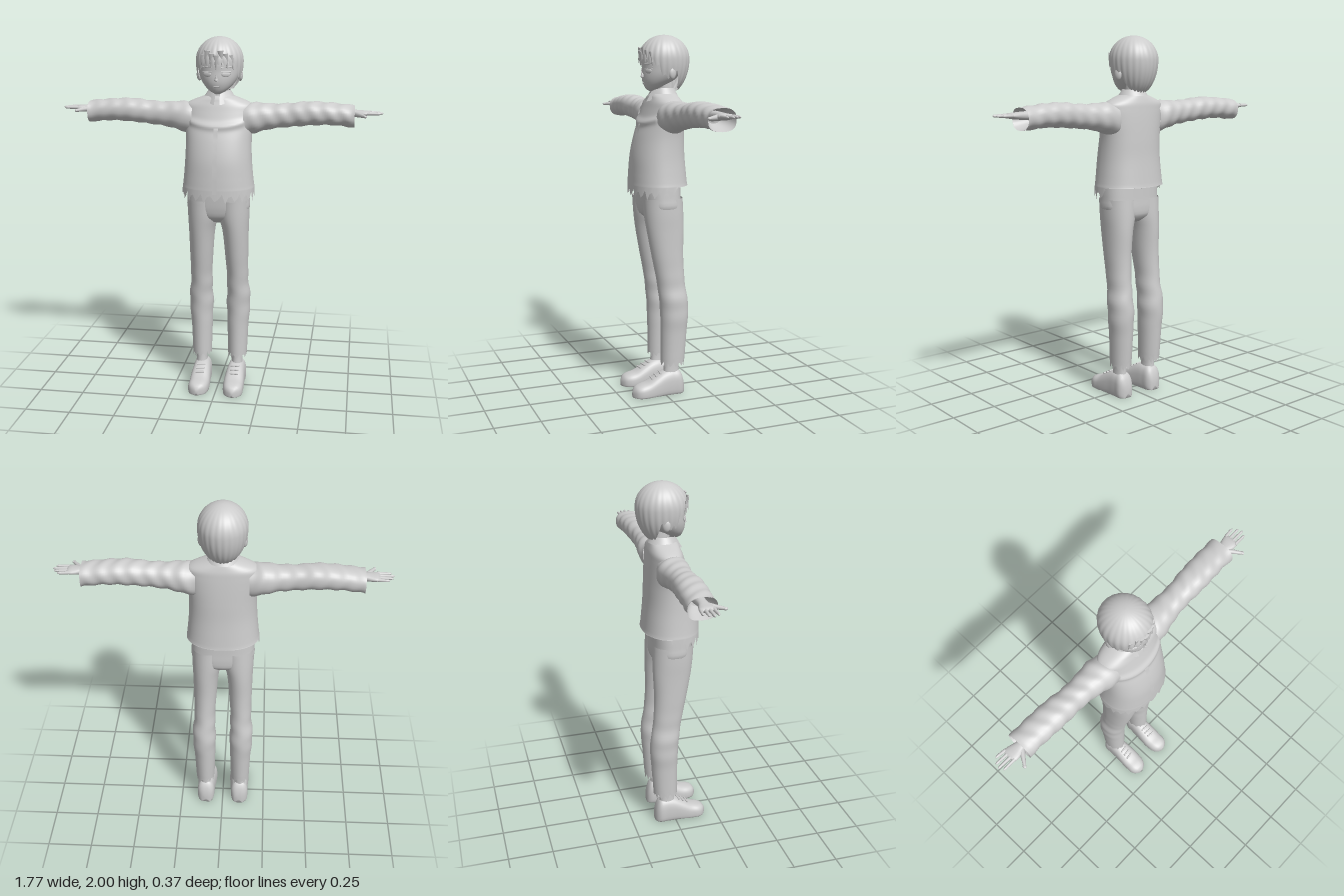
import * as THREE from 'three';

const grey = new THREE.MeshStandardMaterial({ color: 0xcccccc, side: THREE.DoubleSide });
grey.name = 'plainGrey';

// Closed surface: fn(k, j) gives the point of column k in ring j
function surface(n, m, fn, closed = true) {
  const pos = [], idx = [], cols = closed ? n : n + 1;
  for (let j = 0; j <= m; j++) for (let k = 0; k < cols; k++) pos.push(...fn(k, j));
  for (let j = 0; j < m; j++) for (let k = 0; k < n; k++) {
    const q = (k + 1) % cols;
    const a = j * cols + k, b = j * cols + q, c = a + cols, d = b + cols;
    idx.push(a, c, b, b, c, d);
  }
  const g = new THREE.BufferGeometry();
  g.setAttribute('position', new THREE.Float32BufferAttribute(pos, 3));
  g.setIndex(idx);
  g.computeVertexNormals();
  return g;
}

const spow = (v, p) => Math.sign(v) * Math.abs(v) ** p;

// Loft of rounded sections; a row is [t, aMin, aMax, bMin, bMax]
// axis y: t=y a=x b=z; axis x: t=x a=y b=z; axis z: t=z a=x b=y
function loft(rows, { axis = 'y', n = 32, m = 24, power = 0.9, cap = false, tweak } = {}) {
  const curve = new THREE.CubicInterpolant(rows.map(r => r[0]), rows.flatMap(r => r.slice(1)), 4);
  const t0 = rows[0][0], t1 = rows[rows.length - 1][0], extra = cap ? 1 : 0;
  return surface(n, m + 2 * extra, (k, j) => {
    const s = THREE.MathUtils.clamp((j - extra) / m, 0, 1), t = t0 + (t1 - t0) * s;
    const [a0, a1, b0, b1] = curve.evaluate(t);
    const shrink = cap && (j === 0 || j === m + 2) ? 0.001 : 1;
    const w = k / n * Math.PI * 2;
    const a = (a0 + a1) / 2 + (a1 - a0) / 2 * spow(Math.cos(w), power) * shrink;
    const b = (b0 + b1) / 2 + (b1 - b0) / 2 * spow(Math.sin(w), power) * shrink;
    const p = axis === 'y' ? [a, t, b] : axis === 'x' ? [t, a, b] : [a, b, t];
    if (tweak) tweak(p, k, j, w);
    return p;
  });
}

// Tapered round bar between two points
function bar(a, b, ra, rb) {
  const p = new THREE.Vector3(...a), d = new THREE.Vector3(...b).sub(p);
  const g = new THREE.CylinderGeometry(rb, ra, d.length(), 10);
  const q = new THREE.Quaternion().setFromUnitVectors(new THREE.Vector3(0, 1, 0), d.clone().normalize());
  return g.applyQuaternion(q).translate(...p.addScaledVector(d, 0.5).toArray());
}

function ball(x, y, z, rx, ry, rz, turn = 0) {
  return new THREE.SphereGeometry(1, 20, 14).scale(rx, ry, rz).rotateY(turn).translate(x, y, z);
}

function mirrored(geo) {
  const g = geo.clone().scale(-1, 1, 1);
  g.index.array.reverse();
  return g;
}

export function createModel() {
  const model = new THREE.Group();
  const add = (name, geo) => {
    const mesh = new THREE.Mesh(geo, grey);
    mesh.name = name;
    model.add(mesh);
  };
  const pair = (name, geo) => {
    add(name + 'Left', geo);
    add(name + 'Right', mirrored(geo));
  };

  // Head, nose, mouth, eyes and ears
  add('head', loft([
    [1.7, -0.015, 0.015, 0.02, 0.05], [1.71, -0.035, 0.035, 0, 0.062], [1.73, -0.062, 0.062, -0.04, 0.073],
    [1.755, -0.085, 0.085, -0.09, 0.081], [1.785, -0.102, 0.102, -0.12, 0.083], [1.82, -0.112, 0.112, -0.14, 0.081],
    [1.87, -0.115, 0.115, -0.155, 0.08], [1.92, -0.1, 0.1, -0.14, 0.06], [1.97, -0.055, 0.055, -0.08, 0.02],
  ], { cap: true, power: 1 }));
  const nose = new THREE.ConeGeometry(0.012, 0.035, 10).translate(0, 0.0175, 0).rotateX(0.35).translate(0, 1.775, 0.081);
  add('nose', nose);
  add('noseTip', ball(0, 1.777, 0.085, 0.009, 0.007, 0.011));
  add('mouth', ball(0, 1.741, 0.0765, 0.017, 0.0025, 0.004));
  pair('eye', ball(0.05, 1.807, 0.07, 0.024, 0.014, 0.005, 0.4));
  pair('upperLid', bar([0.025, 1.82, 0.081], [0.076, 1.82, 0.059], 0.003, 0.003));
  pair('eyebrow', bar([0.025, 1.843, 0.08], [0.078, 1.846, 0.057], 0.003, 0.002));
  pair('ear', ball(0.112, 1.795, -0.045, 0.014, 0.033, 0.022, 0.3));

  // Hair cap with strands and a ragged edge, short over the face
  const edge = new THREE.LinearInterpolant([-1, -0.5, -0.25, -0.1, 0.15, 0.4, 0.6, 1],
    [1.7, 1.72, 1.8, 1.82, 1.775, 1.79, 1.85, 1.865], 1);
  const hairN = 120, hairM = 26;
  const hair = grow => surface(hairN, hairM, (k, j) => {
    const w = k / hairN * Math.PI * 2, f = Math.sin(w), s = j / hairM;
    const strand = Math.abs((k % 5) / 2.5 - 1), long = [0.024, 0.01, 0.032, 0.016][Math.floor(k / 5) % 4];
    const end = edge.evaluate(f)[0] + (f > -0.3 ? 1 : 0.3) * long * (strand * 2 - 1) * 0.8;
    const endCos = (end - 1.87) / (end < 1.87 ? 0.2 : 0.13);
    const th = Math.acos(endCos) * s, c = Math.cos(th);
    const r = Math.sin(th) * (1 - 0.035 * strand * s) * grow;
    return [0.13 * r * Math.cos(w), 1.87 + c * (c < 0 ? 0.2 : 0.13), -0.04 + 0.142 * r * f];
  });
  add('hair', hair(1));

  // Loose fringe locks that meet at the forehead
  for (let i = -3; i <= 3; i++) {
    const x = i * 0.027, drop = [0.03, 0, 0.02][(i + 3) % 3];
    const depth = 0.097 - x * x * 4.5;
    const lock = new THREE.ConeGeometry(0.016, 0.085, 8).scale(1, 1, 0.4).rotateX(Math.PI + 0.1);
    add('fringeLock', lock.rotateZ(i * 0.07).translate(x, 1.89 - drop * 0.8, depth - 0.004));
  }

  // Neck
  add('neck', bar([0, 1.6, -0.05], [0, 1.78, -0.045], 0.052, 0.047));

  // Shirt with a torn front hem and a fold across the chest
  add('shirt', loft([
    [1.17, -0.2, 0.2, -0.157, 0.156], [1.25, -0.191, 0.191, -0.149, 0.152], [1.35, -0.183, 0.183, -0.14, 0.143],
    [1.45, -0.181, 0.181, -0.135, 0.12], [1.55, -0.188, 0.188, -0.128, 0.085], [1.61, -0.19, 0.19, -0.122, 0.064],
    [1.64, -0.182, 0.182, -0.118, 0.054], [1.66, -0.145, 0.145, -0.112, 0.046], [1.677, -0.1, 0.1, -0.106, 0.04],
    [1.69, -0.065, 0.065, -0.1, 0.025],
  ], {
    n: 72, m: 60, tweak: (p, k, j, w) => {
      if (j === 0) p[1] = Math.sin(w) > -0.2 ? [1.13, 1.172, 1.155][k % 3] - (k % 2) * 0.01 : 1.188;
      else if (j < 4) p[1] += 0.012 * (1 - j / 4);
      if (Math.sin(w) > 0.3 && Math.abs(p[0]) < 0.15)
        p[2] += 0.011 * Math.exp(-(((p[1] - 1.53 - p[0] * p[0]) / 0.018) ** 2));
    },
  }));
  add('buttonPlacket', surface(2, 20, (k, j) => {
    const y = 1.17 + j * 0.0225;
    const z = [0.158, 0.157, 0.156, 0.155, 0.154, 0.152, 0.15, 0.147, 0.145, 0.141, 0.137,
      0.131, 0.126, 0.119, 0.112, 0.108, 0.102, 0.084, 0.076, 0.067, 0.058][j];
    return [(k - 1) * 0.012, y, z];
  }, false));

  // Open collar, its points hanging at the throat
  add('collar', surface(40, 3, (k, j) => {
    const u = k / 40 * 2 - 1, w = -Math.PI / 2 + u * 2.95, s = j / 3;
    const point = Math.max(0, Math.abs(u) - 0.72) / 0.28;
    const r = 0.057 + 0.022 * s, y = 1.715 - 0.012 * point - s * (0.035 + 0.035 * point * (1.7 - point));
    return [Math.cos(w) * r * 1.05, y, -0.035 + Math.sin(w) * r + point * 0.012 * (1 + s)];
  }, false));

  // Sleeves with soft creases
  pair('sleeve', loft([
    [0.14, 1.47, 1.64, -0.11, 0.06], [0.2, 1.485, 1.65, -0.119, 0.056], [0.28, 1.507, 1.645, -0.11, 0.04],
    [0.38, 1.52, 1.648, -0.105, 0.031], [0.48, 1.53, 1.659, -0.114, 0.035], [0.6, 1.535, 1.655, -0.12, 0.031],
    [0.7, 1.527, 1.645, -0.122, 0.026], [0.732, 1.523, 1.642, -0.125, 0.03],
  ], {
    axis: 'x', m: 50, tweak: (p, k, j, w) => {
      const c = 0.0025 * Math.sin(p[0] * 75 + 2 * Math.sin(w * 2));
      p[1] += c * Math.cos(w);
      p[2] += c * Math.sin(w);
    },
  }));
  // Inner cuff
  pair('cuffLining', loft([
    [0.64, 1.56, 1.62, -0.08, -0.01], [0.69, 1.54, 1.632, -0.108, 0.012], [0.732, 1.525, 1.64, -0.123, 0.028],
  ], { axis: 'x', m: 6 }));

  // Hands with four fingers and a thumb
  pair('palm', loft([
    [0.62, 1.57, 1.625, -0.075, -0.015], [0.73, 1.58, 1.62, -0.07, -0.015], [0.765, 1.583, 1.617, -0.08, -0.004],
    [0.8, 1.59, 1.614, -0.084, -0.004], [0.808, 1.595, 1.61, -0.08, -0.01],
  ], { axis: 'x', n: 20, m: 12, cap: true }));
  [[-0.077, 0.855], [-0.056, 0.875], [-0.035, 0.883], [-0.013, 0.87]].forEach(([z, tip]) => {
    const zTip = z * 1.1 + 0.002;
    pair('finger', bar([0.795, 1.603, z], [tip - 0.02, 1.603, zTip], 0.0095, 0.007));
    pair('fingerTip', ball(tip - 0.018, 1.603, zTip, 0.018, 0.007, 0.007));
  });
  pair('thumb', bar([0.74, 1.598, -0.02], [0.785, 1.595, 0.043], 0.015, 0.008));
  pair('thumbTip', ball(0.787, 1.595, 0.045, 0.009, 0.008, 0.011));

  // Trousers
  add('trouserHips', loft([
    [0.99, -0.04, 0.04, -0.07, 0.05], [1.02, -0.13, 0.13, -0.105, 0.09], [1.06, -0.17, 0.17, -0.113, 0.105],
    [1.12, -0.173, 0.173, -0.112, 0.113], [1.25, -0.165, 0.165, -0.11, 0.12],
  ], { n: 40, m: 16, cap: true, power: 0.8 }));
  pair('trouserLeg', loft([
    [0.175, 0.05, 0.158, -0.118, 0.012], [0.35, 0.045, 0.165, -0.13, 0.013], [0.5, 0.041, 0.175, -0.138, 0.018],
    [0.65, 0.044, 0.164, -0.118, 0.036], [0.8, 0.035, 0.165, -0.11, 0.065], [0.95, 0.02, 0.168, -0.114, 0.092],
    [1.02, 0.002, 0.171, -0.114, 0.102], [1.12, -0.01, 0.172, -0.11, 0.11],
  ], {
    n: 36, m: 50, tweak: (p, k, j, w) => {
      if (j === 0) p[1] = [0.158, 0.185, 0.175][k % 3] + (k % 2) * 0.008;
      else if (j === 1) p[1] += 0.006;
      p[2] += 0.004 * spow(Math.sin(w), 14); // pressed crease
      p[0] += 0.003 * Math.sin(p[1] * 48) * Math.exp(-(((p[1] - 0.55) / 0.12) ** 2));
    },
  }));

  // Ankles and shoes
  pair('ankle', loft([
    [0.08, 0.065, 0.14, -0.095, 0.01], [0.15, 0.074, 0.134, -0.088, -0.002], [0.3, 0.07, 0.138, -0.1, 0],
  ], { n: 20, m: 8 }));
  pair('shoe', loft([
    [-0.116, 0.075, 0.125, -0.02, 0.07], [-0.1, 0.058, 0.146, -0.03, 0.118], [-0.05, 0.05, 0.152, -0.03, 0.14],
    [0, 0.046, 0.153, -0.03, 0.133], [0.05, 0.042, 0.156, -0.03, 0.108], [0.1, 0.041, 0.157, -0.03, 0.08],
    [0.15, 0.05, 0.153, -0.025, 0.066], [0.174, 0.068, 0.135, -0.015, 0.053], [0.185, 0.09, 0.113, -0.005, 0.035],
  ], { axis: 'z', m: 30, cap: true, power: 0.75, tweak: p => { p[1] = Math.max(0, p[1]); } }));
  [[0.02, 0.127], [0.045, 0.113], [0.07, 0.1]].forEach(([z, y]) => {
    pair('lace', bar([0.075, y - 0.003, z], [0.124, y - 0.003, z + 0.006], 0.005, 0.005));
  });

  return model;
}
